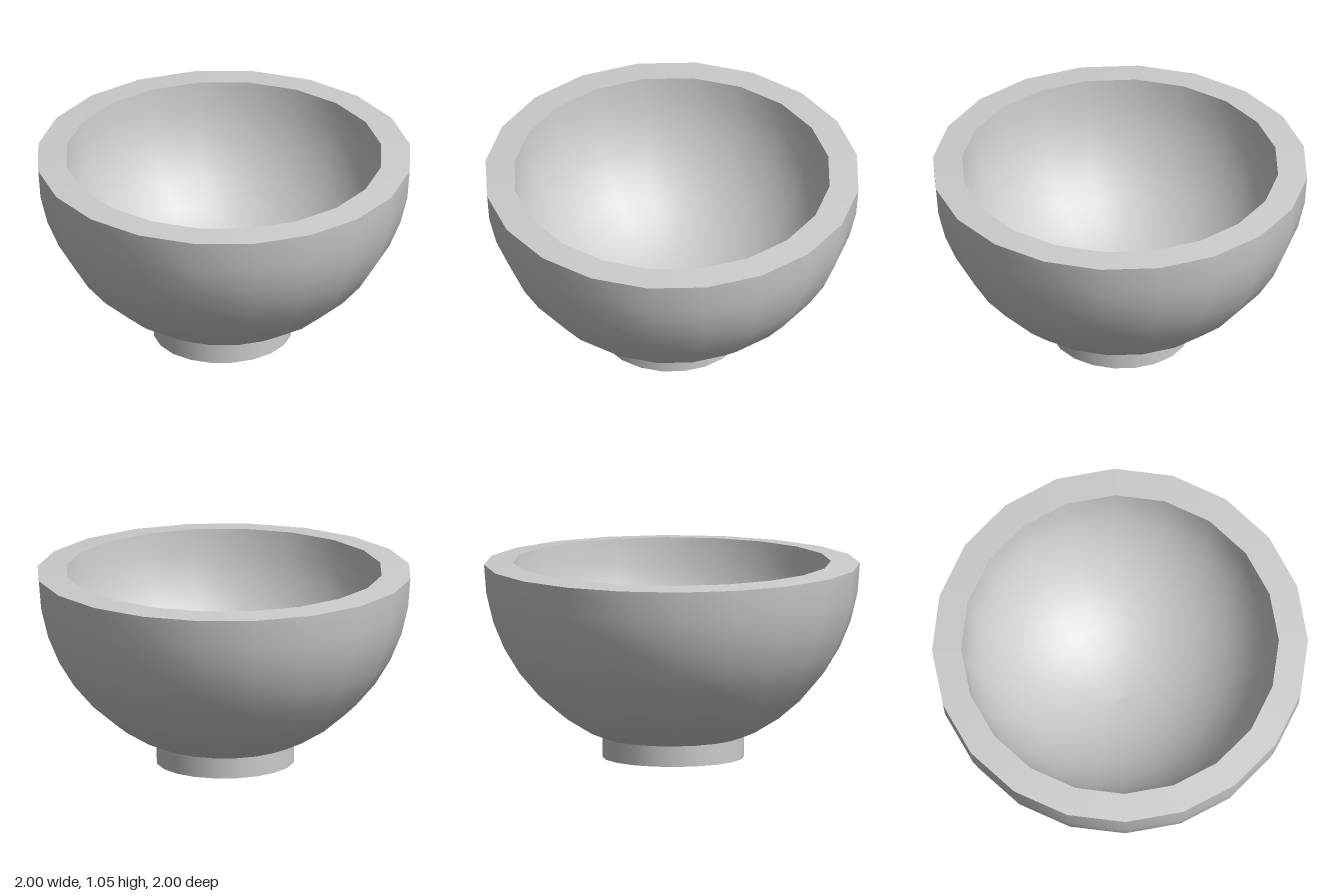
import * as THREE from 'three';

const SIDES = 20;

// Points of a quarter circle from the bottom pole up to the rim
function quarterArc(radius, centreY, steps = 10) {
  return Array.from({ length: steps + 1 }, (_, i) => {
    const a = (i / steps) * Math.PI / 2;
    return new THREE.Vector2(radius * Math.sin(a), centreY - radius * Math.cos(a));
  });
}

export function createModel() {
  const group = new THREE.Group();
  group.name = 'bowl';
  const material = new THREE.MeshStandardMaterial({ color: 0xcccccc });

  const add = (name, geometry) => {
    const mesh = new THREE.Mesh(geometry, material);
    mesh.name = name;
    group.add(mesh);
    return mesh;
  };

  const outer = quarterArc(1, 1.036);
  const inner = quarterArc(0.845, 1.048).reverse();

  // Separate lathes keep the rim edges sharp and the walls smooth
  add('outerWall', new THREE.LatheGeometry(outer, SIDES));
  add('rim', new THREE.LatheGeometry([outer[outer.length - 1], inner[0]], SIDES));
  add('innerWall', new THREE.LatheGeometry(inner, SIDES));

  // Foot, slightly oval and a touch off centre, sunk into the bowl
  const foot = add('foot', new THREE.CylinderGeometry(1, 1, 0.14, SIDES));
  foot.scale.set(0.366, 1, 0.377);
  foot.position.set(-0.004, 0.07, 0.007);

  return group;
}
